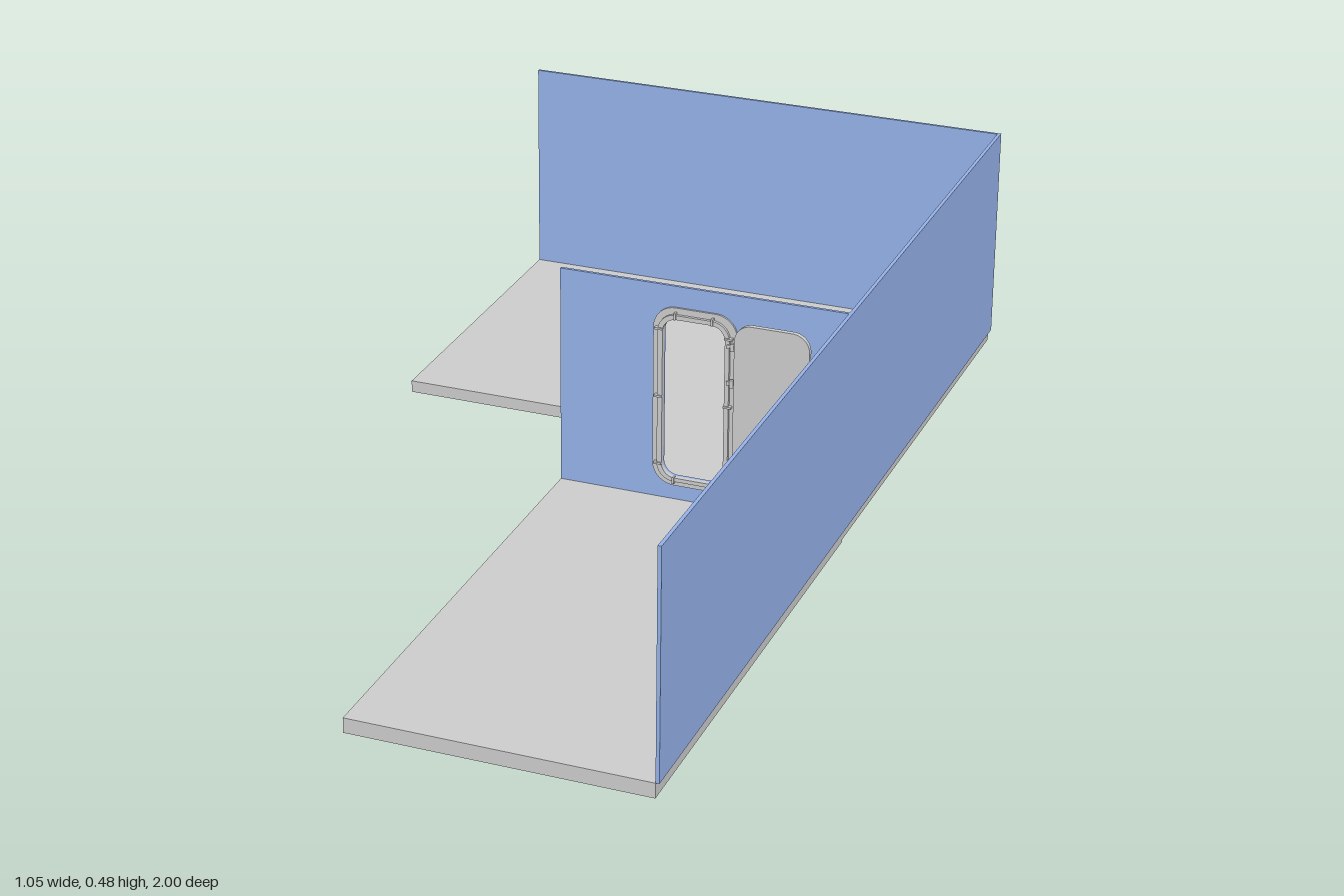
import * as THREE from 'three';

export function createModel() {
  const model = new THREE.Group();
  const grey = new THREE.MeshStandardMaterial({ color: 0xcccccc });
  const blue = new THREE.MeshStandardMaterial({ color: 0x95b1e8 });

  const add = (name, geometry, material, parent = model) => {
    const mesh = new THREE.Mesh(geometry, material);
    mesh.name = name;
    parent.add(mesh);
    return mesh;
  };

  // Box given by its two opposite corners
  const box = (name, a, b, material, parent) => {
    const size = a.map((v, i) => b[i] - v);
    const mesh = add(name, new THREE.BoxGeometry(...size), material, parent);
    mesh.position.set(...a.map((v, i) => (v + b[i]) / 2));
    return mesh;
  };

  // Rounded rectangle outline from edges and corner radius
  const rounded = (x0, x1, y0, y1, r, path = new THREE.Shape()) => {
    path.absarc(x1 - r, y0 + r, r, -Math.PI / 2, 0);
    path.absarc(x1 - r, y1 - r, r, 0, Math.PI / 2);
    path.absarc(x0 + r, y1 - r, r, Math.PI / 2, Math.PI);
    path.absarc(x0 + r, y0 + r, r, Math.PI, Math.PI * 1.5);
    path.closePath();
    return path;
  };

  const slab = (shape, z0, z1) => new THREE.ExtrudeGeometry(shape, {
    depth: z1 - z0, bevelEnabled: false, curveSegments: 8,
  }).translate(0, 0, z0);

  const opening = () => rounded(0.149, 0.275, 0.08, 0.415, 0.028, new THREE.Path());

  // Floors: straight corridor in front, L-shaped deck behind
  box('frontFloor', [-0.065, 0, 0], [0.515, 0.03, 1], grey);
  const deck = new THREE.Shape([
    [-0.525, 1], [-0.525, 0.3], [-0.065, 0.3], [-0.065, 0], [0.515, 0], [0.515, 1],
  ].map(([x, y]) => new THREE.Vector2(x, y)));
  add('rearFloor', slab(deck, 0.005, 0.03).rotateX(-Math.PI / 2), grey);

  // Outer walls
  box('sideWall', [0.515, 0.03, -0.993], [0.522, 0.48, 1], blue);
  box('backWall', [-0.525, 0.03, -0.998], [0.522, 0.48, -0.992], blue);

  // Partition with a doorway
  const wall = new THREE.Shape([
    [-0.065, 0.03], [0.515, 0.03], [0.515, 0.48], [-0.065, 0.48],
  ].map(([x, y]) => new THREE.Vector2(x, y)));
  wall.holes.push(opening());
  add('partitionWall', slab(wall, -0.003, 0.003), blue);

  // Door frame: flat flange with a raised inner rim
  const frame = new THREE.Group();
  frame.name = 'doorFrame';
  model.add(frame);
  const flange = rounded(0.128, 0.298, 0.061, 0.437, 0.045);
  flange.holes.push(opening());
  add('flange', slab(flange, 0.003, 0.007), grey, frame);
  const rim = rounded(0.139, 0.284, 0.072, 0.424, 0.036);
  rim.holes.push(opening());
  add('rim', slab(rim, 0.007, 0.013), grey, frame);

  // Latches around the rim
  for (const y of [0.107, 0.25, 0.392]) {
    for (const x of [0.141, 0.282]) {
      box('latch', [x - 0.008, y - 0.002, 0.007], [x + 0.008, y + 0.002, 0.016], grey, frame);
    }
  }
  for (const x of [0.174, 0.249]) {
    for (const y of [0.075, 0.422]) {
      box('latch', [x - 0.002, y - 0.007, 0.007], [x + 0.002, y + 0.007, 0.016], grey, frame);
    }
  }

  // Door swung fully open beside the frame
  add('door', slab(rounded(0.297, 0.447, 0.07, 0.43, 0.035), 0.013, 0.023), grey);

  // Hinges: arm and pin
  for (const y of [0.12, 0.302, 0.378]) {
    const hinge = new THREE.Group();
    hinge.name = 'hinge';
    model.add(hinge);
    box('hingeArm', [0.28, y - 0.004, 0.007], [0.31, y + 0.004, 0.016], grey, hinge);
    add('hingePin', new THREE.CylinderGeometry(0.004, 0.004, 0.016, 10), grey, hinge)
      .position.set(0.29, y, 0.015);
  }

  return model;
}
